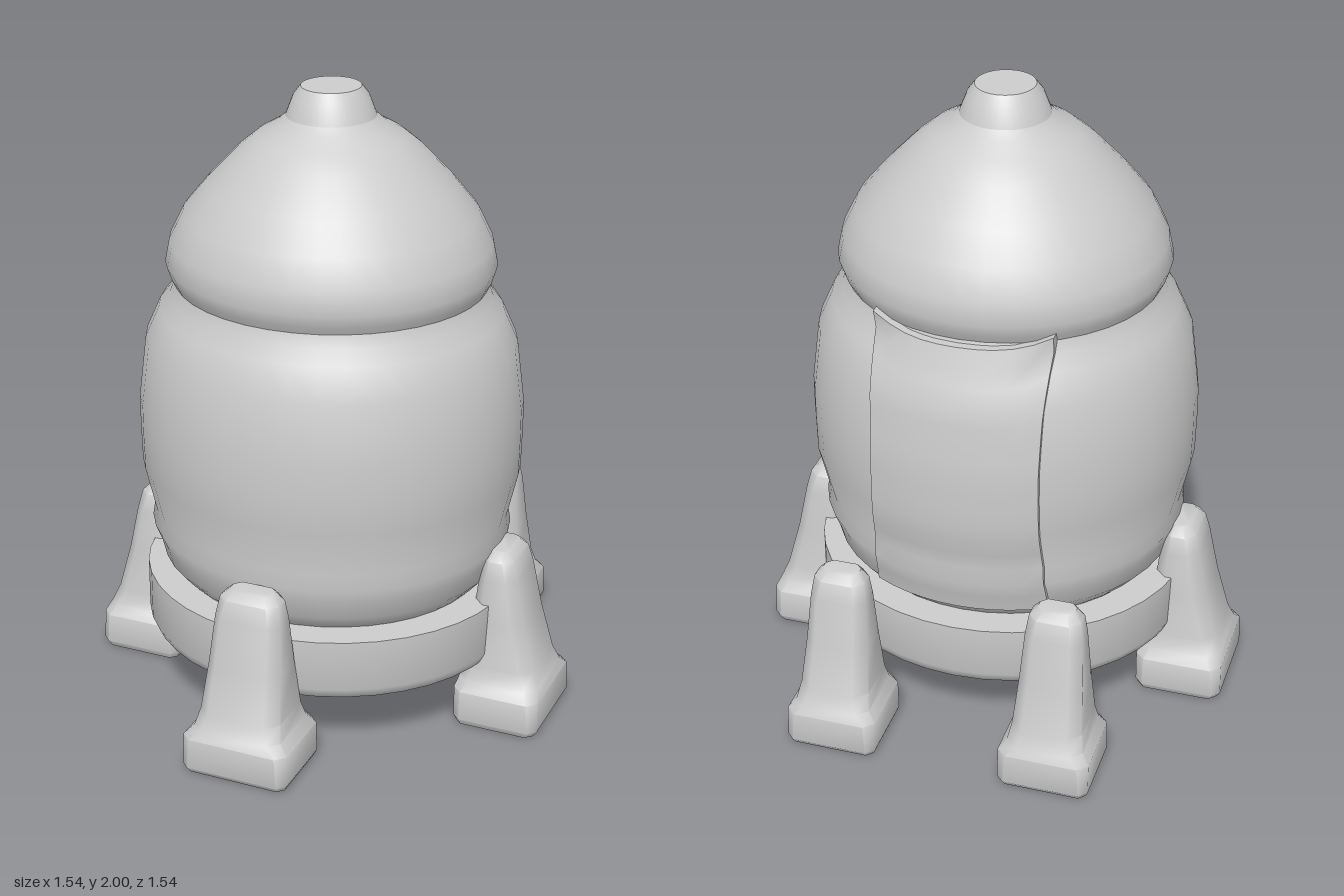
import * as THREE from 'three';
import { toCreasedNormals } from 'three/addons/utils/BufferGeometryUtils.js';

const shellGrey = new THREE.MeshStandardMaterial({ color: 0xcccccc });
shellGrey.name = 'shellGrey';

// Profiles as [radius, height]
const HULL = [[0.48, 0.40], [0.51, 0.43], [0.545, 0.47], [0.56, 0.53], [0.58, 0.58], [0.572, 0.63],
  [0.607, 0.78], [0.61, 0.9], [0.61, 1.0], [0.585, 1.2], [0.54, 1.3], [0.505, 1.345], [0.49, 1.385]];
const DOME = [[0.49, 1.385], [0.502, 1.41], [0.515, 1.45], [0.5, 1.52], [0.455, 1.61], [0.38, 1.7],
  [0.285, 1.8], [0.225, 1.85], [0.165, 1.885], [0.138, 1.91]];
const NOSE = [[0.138, 1.91], [0.115, 1.97], [0.092, 2.0], [0, 2.0]];
const BASE = [[0, 0.2], [0.54, 0.2], [0.585, 0.218], [0.6, 0.25], [0.6, 0.415], [0, 0.415]];

// Slightly flattened front to back, with a rounder tip
function depthScale(y) {
  return y < 1.3 ? 0.945 : THREE.MathUtils.lerp(0.945, 1.03, (y - 1.3) / 0.7);
}

function hullRadius(y) {
  const p = [...HULL, ...DOME.slice(1)];
  const i = p.findIndex((q) => q[1] >= y);
  const [a, b] = [p[i - 1], p[i]];
  return THREE.MathUtils.mapLinear(y, a[1], b[1], a[0], b[0]);
}

function addMesh(group, name, geometry, crease = 0.8) {
  const mesh = new THREE.Mesh(toCreasedNormals(geometry, crease), shellGrey);
  mesh.name = name;
  group.add(mesh);
  return mesh;
}

function turned(profile) {
  const g = new THREE.LatheGeometry(profile.map(([r, y]) => new THREE.Vector2(r, y)), 40);
  const p = g.attributes.position;
  for (let i = 0; i < p.count; i++) p.setZ(i, p.getZ(i) * depthScale(p.getY(i)));
  return g;
}

// Leg cross-sections: height, inner reach, outer reach, half width, corner cut
const LEG = [
  [0, 0.5, 0.755, 0.165, 0.02], [0.02, 0.49, 0.77, 0.175, 0.025], [0.12, 0.488, 0.768, 0.174, 0.03],
  [0.15, 0.495, 0.755, 0.145, 0.035], [0.2, 0.505, 0.735, 0.134, 0.04], [0.35, 0.525, 0.695, 0.12, 0.035],
  [0.5, 0.54, 0.665, 0.108, 0.03], [0.56, 0.545, 0.65, 0.098, 0.03], [0.585, 0.56, 0.625, 0.07, 0.02],
];

function legGeometry(widthScale) {
  const pos = [], index = [], n = 8;
  for (const [y, inner, outer, half, cut] of LEG) {
    const w = half * widthScale, v = w - cut;
    const ring = [[-v, outer], [v, outer], [w, outer - cut], [w, inner + cut],
      [v, inner], [-v, inner], [-w, inner + cut], [-w, outer - cut]];
    for (const [x, z] of ring) pos.push(x, y, z);
  }
  const last = (LEG.length - 1) * n;
  for (let j = 0; j < n; j++) {
    const k = (j + 1) % n;
    for (let r = 0; r < last; r += n) {
      index.push(r + j, r + k, r + n + k, r + j, r + n + k, r + n + j);
    }
    // Fan caps
    if (j > 0 && j < n - 1) index.push(0, k, j, last, last + j, last + k);
  }
  const g = new THREE.BufferGeometry();
  g.setAttribute('position', new THREE.Float32BufferAttribute(pos, 3));
  g.setIndex(index);
  return g;
}

// Curved hatch hugging the back; its outermost rows and columns sink into the hull
function hatchGeometry() {
  const cols = 12, rows = 18, half = 0.277;
  const g = new THREE.PlaneGeometry(1, 1, cols, rows);
  const p = g.attributes.position;
  for (let r = 0; r <= rows; r++) {
    for (let c = 0; c <= cols; c++) {
      const rim = r === 0 || r === rows || c === 0 || c === cols;
      const u = THREE.MathUtils.clamp((c - 1) / (cols - 2), 0, 1) * 2 - 1;
      const t = THREE.MathUtils.clamp((r - 1) / (rows - 2), 0, 1);
      // Corners rise a little above the middle of the top edge
      const top = 1.375 + 0.04 * u ** 4;
      const y = THREE.MathUtils.lerp(top, 0.47, t);
      const x = -u * half * (1 - 0.05 * Math.sin(t * Math.PI));
      const radius = hullRadius(y);
      const flare = t < 0.12 ? 0.015 * (1 - t / 0.12) : 0;
      const lift = rim ? -0.03 : 0.012 + flare;
      p.setXYZ(r * (cols + 1) + c, x, y, -depthScale(y) * Math.sqrt(radius ** 2 - x ** 2) - lift);
    }
  }
  return g;
}

export function createModel() {
  const model = new THREE.Group();
  model.name = 'capsule';

  addMesh(model, 'hull', turned(HULL), 1.2);
  addMesh(model, 'dome', turned(DOME), 1.2);
  addMesh(model, 'noseCap', turned(NOSE));
  addMesh(model, 'baseRing', turned(BASE));
  addMesh(model, 'backHatch', hatchGeometry());

  // One front leg, two side legs and two narrower back legs
  const legs = [
    ['frontLeg', 0, 0, 1], ['leftLeg', 0, Math.PI / 2, 1], ['rightLeg', 0, -Math.PI / 2, 1],
    ['backLeftLeg', 0.345, Math.PI, 0.83], ['backRightLeg', -0.345, Math.PI, 0.83],
  ];
  for (const [name, x, turn, width] of legs) {
    const leg = addMesh(model, name, legGeometry(width));
    leg.position.x = x;
    leg.rotation.y = turn;
  }
  return model;
}
